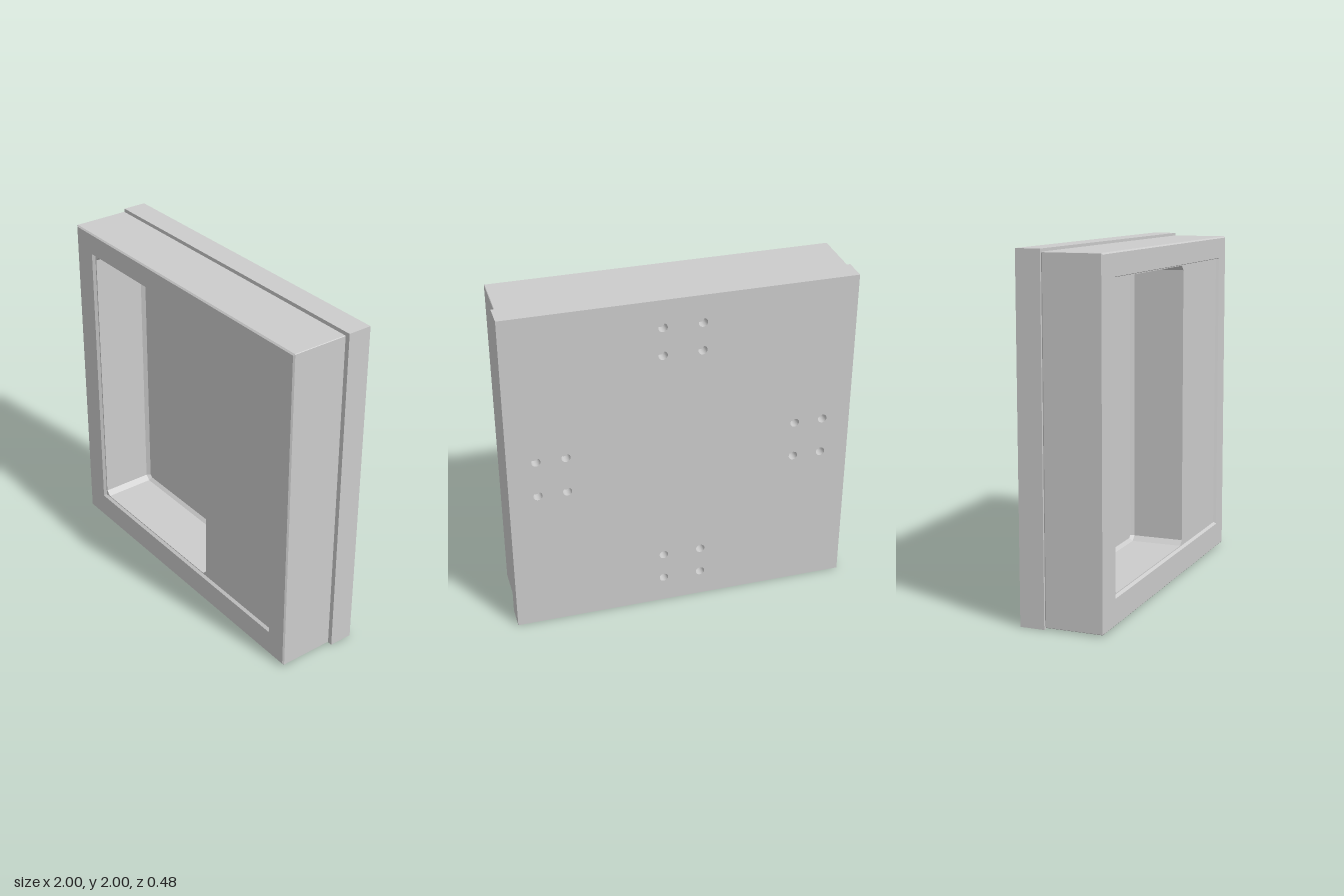
import * as THREE from 'three';

const material = new THREE.MeshStandardMaterial({ color: 0xcccccc, flatShading: true });

function addMesh(group, name, geometry) {
  const mesh = new THREE.Mesh(geometry, material);
  mesh.name = name;
  group.add(mesh);
  return mesh;
}

// Rectangle with cut corners, anticlockwise as seen from the front
function ring(x0, x1, y0, y1, z, c) {
  return [
    [x0 + c, y0, z], [x1 - c, y0, z], [x1, y0 + c, z], [x1, y1 - c, z],
    [x1 - c, y1, z], [x0 + c, y1, z], [x0, y1 - c, z], [x0, y0 + c, z],
  ];
}

// Joins successive rings with flat quads
function loft(rings) {
  const pos = [];
  for (let r = 0; r < rings.length - 1; r++) {
    const a = rings[r], b = rings[r + 1];
    for (let i = 0; i < a.length; i++) {
      const j = (i + 1) % a.length;
      pos.push(...a[i], ...a[j], ...b[j], ...a[i], ...b[j], ...b[i]);
    }
  }
  const geometry = new THREE.BufferGeometry();
  geometry.setAttribute('position', new THREE.Float32BufferAttribute(pos, 3));
  geometry.computeVertexNormals();
  return geometry;
}

export function createModel() {
  const group = new THREE.Group();
  group.name = 'recessedBox';

  // Housing: bevelled outside, shallow recess, then the deep off-centre pocket
  addMesh(group, 'housing', loft([
    ring(-0.987, 0.972, 0.018, 1.977, -0.1, 0.003),
    ring(-0.995, 0.98, 0.01, 1.985, -0.092, 0.003),
    ring(-0.995, 0.98, 0.01, 1.985, 0.232, 0.003),
    ring(-0.987, 0.972, 0.018, 1.977, 0.24, 0.003),
    ring(-0.84, 0.85, 0.163, 1.857, 0.24, 0.003),
    ring(-0.828, 0.838, 0.175, 1.852, 0.225, 0.003),
    ring(-0.82, 0.24, 0.18, 1.848, 0.225, 0.028),
    ring(-0.82, 0.24, 0.18, 1.848, -0.08, 0.028),
    ring(-0.802, 0.222, 0.197, 1.832, -0.1, 0.016),
  ]));

  // Front layer of the back plate, also the pocket floor
  const front = addMesh(group, 'backPlateFront', new THREE.BoxGeometry(2, 2, 0.08));
  front.position.set(0, 1, -0.14);

  // Rear layer, with four groups of four blind screw holes
  const plate = new THREE.Shape([
    new THREE.Vector2(-1, 0), new THREE.Vector2(1, 0),
    new THREE.Vector2(1, 2), new THREE.Vector2(-1, 2),
  ]);
  const addHole = (x, y) => {
    const hole = new THREE.Path();
    hole.absarc(x, 1 + y, 0.026, 0, Math.PI * 2, true);
    plate.holes.push(hole);
  };
  for (const side of [-1, 1]) {
    for (const radial of [0.668, 0.836]) {
      for (const offset of [-0.112, 0.112]) {
        addHole(offset, side * radial);
        addHole(side * radial, offset);
      }
    }
  }
  const rear = addMesh(group, 'backPlateRear', new THREE.ExtrudeGeometry(plate, {
    depth: 0.06, bevelEnabled: false, curveSegments: 16,
  }));
  rear.position.z = -0.24;

  return group;
}
